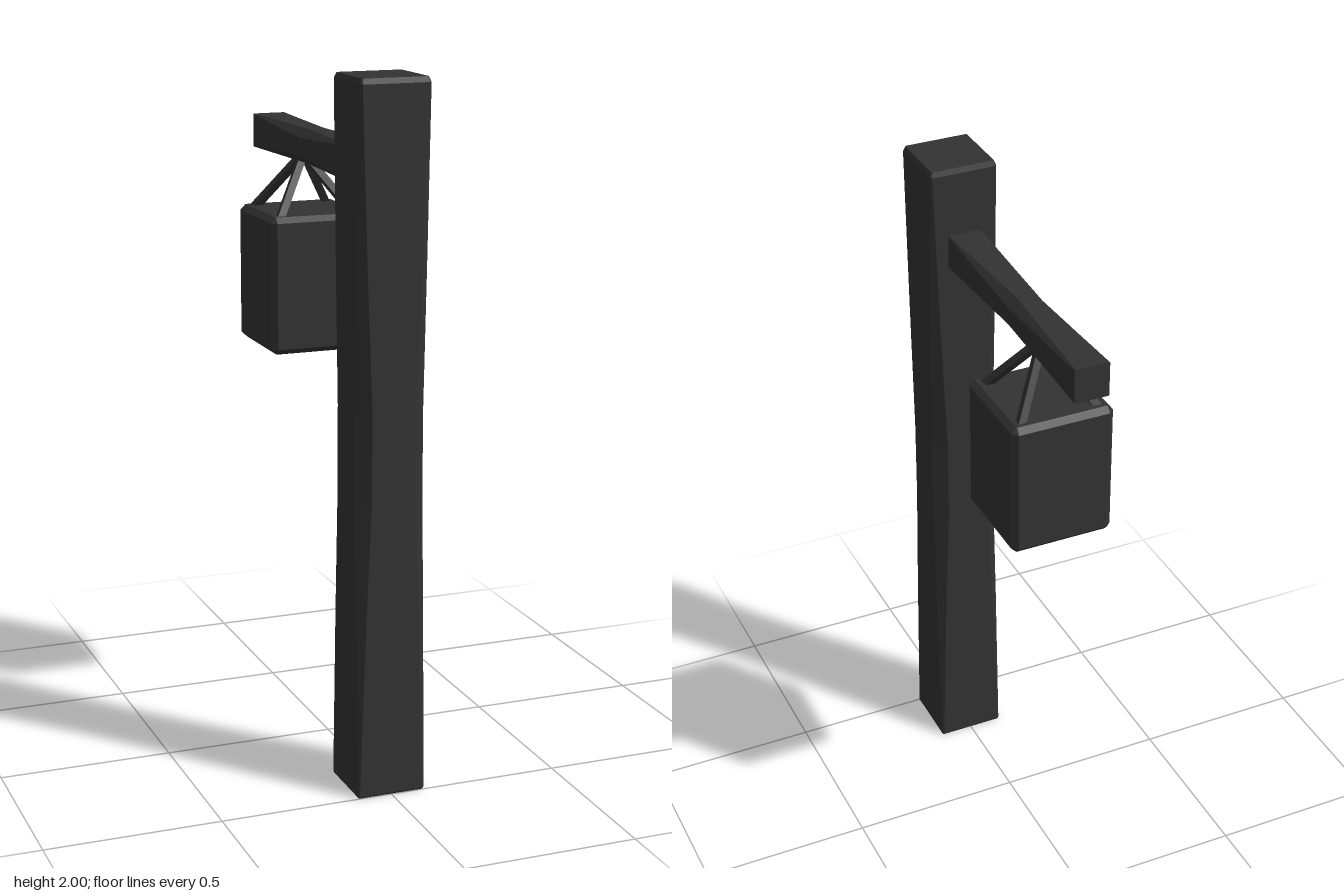
import * as THREE from 'three';

// Square bar with cut corners, lofted upward through sections [y, halfWidth, cornerCut]
function loft(sections) {
  const pos = [], idx = [];
  for (const [y, h, c] of sections) {
    const k = h - c;
    // counter-clockwise seen from above
    const ring = [[h, k], [h, -k], [k, -h], [-k, -h], [-h, -k], [-h, k], [-k, h], [k, h]];
    for (const [x, z] of ring) pos.push(x, y, z);
  }
  const last = (sections.length - 1) * 8;
  for (let s = 0; s < last; s += 8) {
    for (let i = 0; i < 8; i++) {
      const a = s + i, b = s + (i + 1) % 8;
      idx.push(a, b, b + 8, a, b + 8, a + 8);
    }
  }
  for (let i = 1; i < 7; i++) {
    idx.push(0, i + 1, i);
    idx.push(last, last + i, last + i + 1);
  }
  const geo = new THREE.BufferGeometry();
  geo.setAttribute('position', new THREE.Float32BufferAttribute(pos, 3));
  geo.setIndex(idx);
  const flat = geo.toNonIndexed();
  flat.computeVertexNormals();
  return flat;
}

export function createModel() {
  const model = new THREE.Group();
  model.name = 'hangingLanternPost';
  const dark = new THREE.MeshStandardMaterial({ color: 0x333333 });
  dark.name = 'dark charcoal';
  dark.flatShading = true;

  const add = (name, geo, x, y, z) => {
    const mesh = new THREE.Mesh(geo, dark);
    mesh.name = name;
    mesh.position.set(x, y, z);
    model.add(mesh);
    return mesh;
  };

  // Upright post, corners carved deepest at mid height
  add('post', loft([
    [0, 0.097, 0.003], [0.005, 0.1, 0.005], [0.5, 0.1, 0.021], [0.85, 0.1, 0.036],
    [1.1, 0.1, 0.037], [1.5, 0.1, 0.021], [1.985, 0.1, 0.005], [2, 0.094, 0.003],
  ]), 0, 0, 0.4);

  // Arm reaching back from the post, carved the same way
  const arm = add('arm', loft([
    [0, 0.05, 0.002], [0.2, 0.05, 0.014], [0.4, 0.05, 0.025],
    [0.6, 0.05, 0.014], [0.8, 0.05, 0.002],
  ]), 0, 1.75, 0.3);
  arm.rotation.x = -Math.PI / 2;

  // Lantern body with bevelled edges
  add('lantern', loft([
    [0, 0.134, 0.001], [0.016, 0.15, 0.016], [0.384, 0.15, 0.016], [0.4, 0.134, 0.001],
  ]), 0, 1.155, -0.2);

  // Four hanger rods from the lantern corners up to the arm
  const top = new THREE.Vector3(0, 1.715, -0.2);
  for (const sx of [-1, 1]) {
    for (const sz of [-1, 1]) {
      const foot = new THREE.Vector3(sx * 0.115, 1.545, -0.2 + sz * 0.115);
      const geo = new THREE.CylinderGeometry(0.015, 0.015, foot.distanceTo(top), 4);
      geo.rotateX(Math.PI / 2);
      const mid = foot.clone().lerp(top, 0.5);
      add('hangerRod', geo, mid.x, mid.y, mid.z).lookAt(top);
    }
  }
  return model;
}
